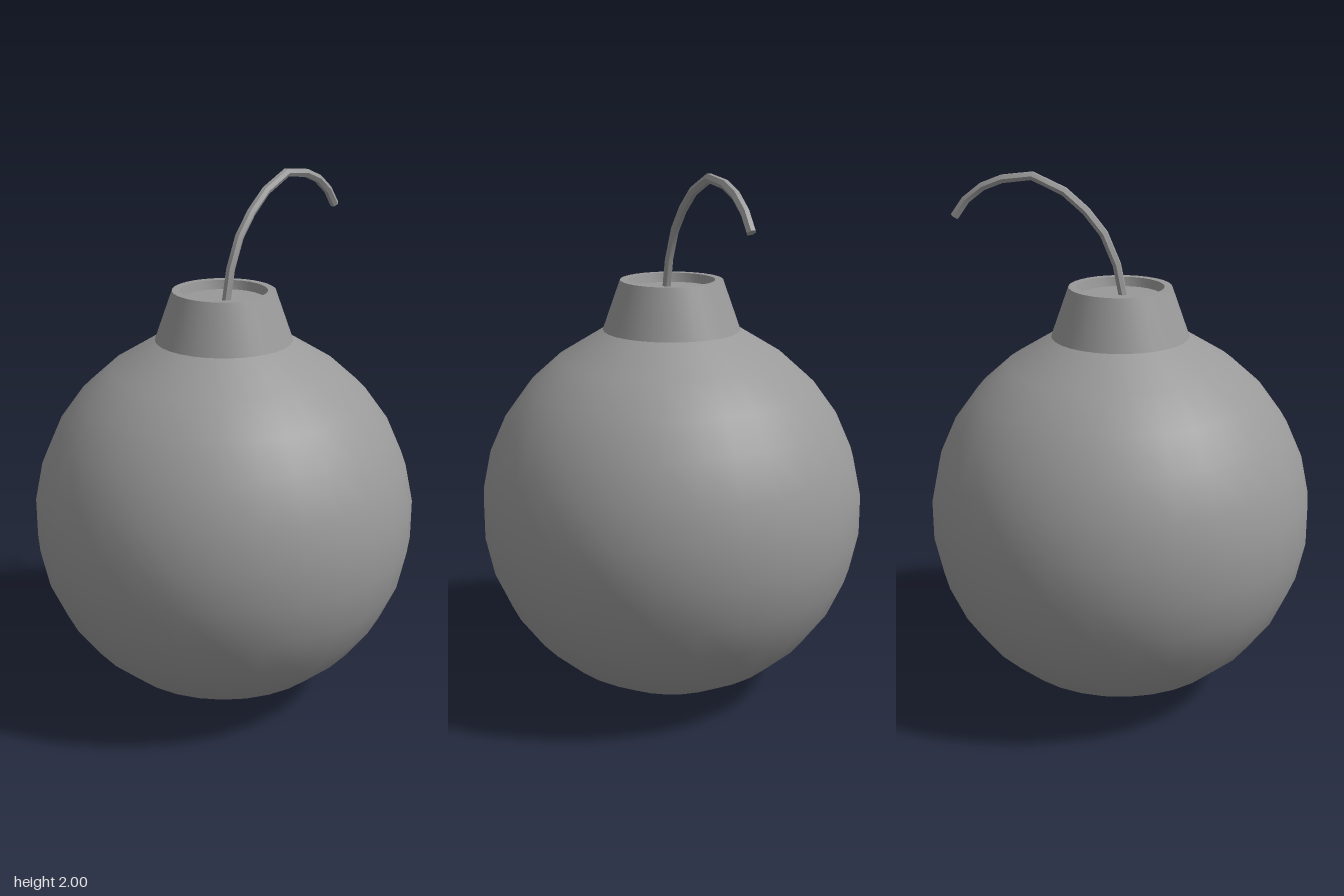
import * as THREE from 'three';
import { toCreasedNormals } from 'three/addons/utils/BufferGeometryUtils.js';

const material = new THREE.MeshStandardMaterial({ color: 0x999999 });
const FUSE_Z = 0.018;
const FUSE_R = 0.017;

function part(name, geometry) {
  const mesh = new THREE.Mesh(geometry, material);
  mesh.name = name;
  return mesh;
}

// Round body running up into a tapered neck with a rim and a shallow recessed top
function createBody() {
  const radius = 0.722, bands = 15, profile = [];
  // Ball from its lowest point up to the band below the neck
  for (let i = 0; i <= 12; i++) {
    const a = (i / bands) * Math.PI;
    profile.push(new THREE.Vector2(radius * Math.sin(a), radius - radius * Math.cos(a)));
  }
  for (const [r, y] of [
    [0.255, 1.41], [0.19, 1.594], [0.161, 1.594], [0.154, 1.56], [0, 1.56],
  ]) profile.push(new THREE.Vector2(r, y));
  return part('body', toCreasedNormals(new THREE.LatheGeometry(profile, 30), 0.5));
}

// Six-sided fuse rising from the neck and drooping to the left, with closed ends
function createFuse() {
  const points = [
    [-0.008, 1.55], [0.016, 1.67], [0.063, 1.781], [0.127, 1.861], [0.207, 1.93],
    [0.323, 1.983], [0.434, 1.97], [0.508, 1.941], [0.571, 1.892], [0.615, 1.831],
  ].map(([x, y]) => new THREE.Vector3(x, y, FUSE_Z));
  const curve = new THREE.CatmullRomCurve3(points);
  // Place the tube's rings exactly on the control points
  curve.getPointAt = curve.getPoint;
  curve.getTangentAt = curve.getTangent;

  const fuse = new THREE.Group();
  fuse.name = 'fuse';
  const cord = new THREE.TubeGeometry(curve, points.length - 1, FUSE_R, 6);
  fuse.add(part('fuseCord', toCreasedNormals(cord, 0.6)));
  for (const [t, sign] of [[0, -1], [1, 1]]) {
    const cap = part('fuseEnd', new THREE.CircleGeometry(FUSE_R, 6, Math.PI / 2));
    cap.position.copy(curve.getPoint(t));
    // Turn the disc so that its corners meet the cord's corners
    const out = curve.getTangent(t).multiplyScalar(sign);
    const up = new THREE.Vector3(0, 0, 1);
    cap.quaternion.setFromRotationMatrix(
      new THREE.Matrix4().makeBasis(up.clone().cross(out), up, out));
    fuse.add(cap);
  }
  return fuse;
}

export function createModel() {
  const model = new THREE.Group();
  model.name = 'roundBomb';
  model.add(createBody(), createFuse());
  return model;
}
